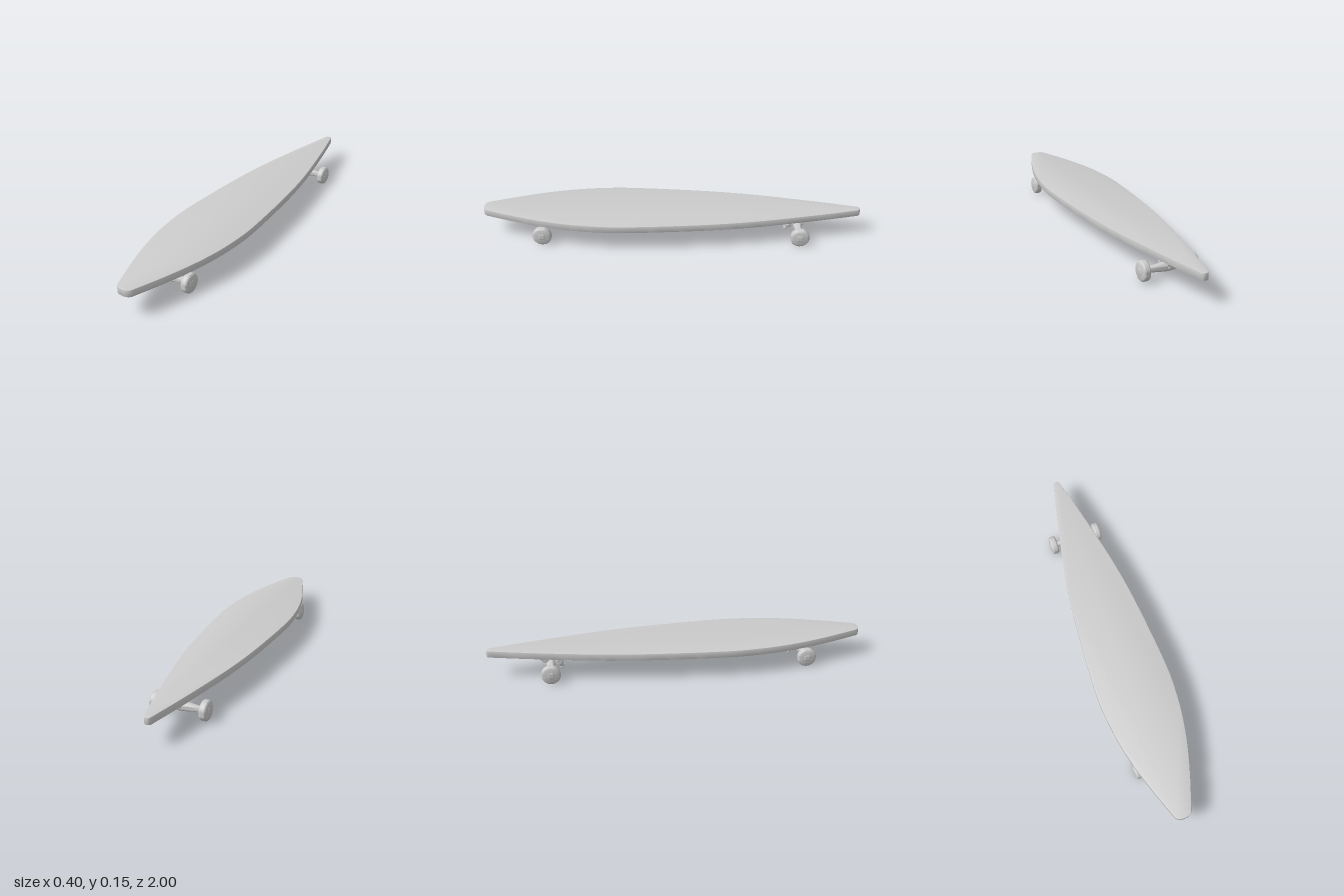
import * as THREE from 'three';
import { toCreasedNormals } from 'three/addons/utils/BufferGeometryUtils.js';

const grey = new THREE.MeshStandardMaterial({ color: 0xcccccc });

function add(parent, name, geometry, x = 0, y = 0, z = 0) {
  const mesh = new THREE.Mesh(geometry, grey);
  mesh.name = name;
  mesh.position.set(x, y, z);
  parent.add(mesh);
  return mesh;
}

// Solid of revolution from [radius, height] pairs
function lathe(profile, segments = 28) {
  const points = profile.map(([r, h]) => new THREE.Vector2(r, h));
  return toCreasedNormals(new THREE.LatheGeometry(points, segments), 0.7);
}

// Side profile of [z, y] pairs, extruded symmetrically across x
function sideExtrude(profile, width) {
  const shape = new THREE.Shape(profile.map(([z, y]) => new THREE.Vector2(-z, y)));
  const geo = new THREE.ExtrudeGeometry(shape, { depth: width, bevelEnabled: false });
  geo.translate(0, 0, -width / 2);
  return geo.rotateY(Math.PI / 2);
}

// Pintail deck: half outline from nose to tail, mirrored, with softened rims
function deckGeometry() {
  const half = [
    [0.046, 0.965], [0.095, 0.83], [0.144, 0.67], [0.18, 0.5], [0.197, 0.32], [0.195, 0.18],
    [0.184, 0], [0.167, -0.2], [0.141, -0.4], [0.104, -0.6], [0.062, -0.8], [0.021, -0.975],
  ];
  const side = new THREE.SplineCurve(half.map(([x, z]) => new THREE.Vector2(x, -z))).getPoints(44);
  const shape = new THREE.Shape();
  shape.moveTo(0, -0.995);
  shape.bezierCurveTo(0.025, -0.995, 0.04, -0.987, side[0].x, side[0].y);
  side.slice(1).forEach((p) => shape.lineTo(p.x, p.y));
  shape.bezierCurveTo(0.018, 0.992, 0.012, 1, 0, 1);
  shape.bezierCurveTo(-0.012, 1, -0.018, 0.992, -0.021, 0.975);
  side.slice(0, -1).reverse().forEach((p) => shape.lineTo(-p.x, p.y));
  shape.bezierCurveTo(-0.04, -0.987, -0.025, -0.995, 0, -0.995);
  const bevel = 0.003;
  const geo = new THREE.ExtrudeGeometry(shape, {
    depth: 0.037 - 2 * bevel, bevelThickness: bevel, bevelSize: bevel,
    bevelOffset: -bevel, bevelSegments: 2, curveSegments: 8,
  });
  geo.rotateX(-Math.PI / 2).translate(0, 0.115 + bevel, 0);
  return toCreasedNormals(geo, 0.5);
}

// One truck; local +z points to the end of the board
function createTruck() {
  const truck = new THREE.Group();

  // Mounting plate and wedge-shaped hanger bracket
  add(truck, 'basePlate', new THREE.BoxGeometry(0.088, 0.01, 0.18), 0, 0.11, -0.015);
  add(truck, 'bracket', sideExtrude([
    [0.072, 0.106], [-0.1, 0.106], [-0.065, 0.076], [-0.045, 0.076], [-0.02, 0.09],
    [0, 0.088], [0.018, 0.064], [0.036, 0.064],
  ], 0.042));

  // Tapered axle hanger lying along x
  const hanger = add(truck, 'axleHanger', lathe([
    [0, -0.112], [0.014, -0.112], [0.016, -0.085], [0.02, -0.05], [0.024, -0.02], [0.025, 0],
    [0.024, 0.02], [0.02, 0.05], [0.016, 0.085], [0.014, 0.112], [0, 0.112],
  ]), 0, 0.05, 0);
  hanger.rotation.z = Math.PI / 2;
  add(truck, 'pivot', new THREE.CylinderGeometry(0.012, 0.012, 0.04, 16), 0, 0.068, 0.02);

  // Tilted kingpin with bushings, washers and nut
  const kingpin = new THREE.Group();
  kingpin.name = 'kingpin';
  kingpin.position.set(0, 0.055, -0.047);
  kingpin.rotation.x = 0.5;
  add(kingpin, 'kingpinBolt', new THREE.CylinderGeometry(0.006, 0.006, 0.07, 12), 0, -0.003);
  add(kingpin, 'upperBushing', lathe([
    [0, 0.006], [0.016, 0.006], [0.018, 0.013], [0.016, 0.022], [0, 0.022],
  ], 20));
  add(kingpin, 'yokeRing', new THREE.CylinderGeometry(0.02, 0.02, 0.012, 20));
  add(kingpin, 'lowerBushing', lathe([
    [0, -0.022], [0.012, -0.022], [0.016, -0.006], [0, -0.006],
  ], 20));
  add(kingpin, 'washer', new THREE.CylinderGeometry(0.014, 0.014, 0.003, 20), 0, -0.023);
  add(kingpin, 'nut', new THREE.CylinderGeometry(0.011, 0.011, 0.01, 6), 0, -0.029);
  truck.add(kingpin);

  // Arm joining the kingpin ring to the hanger
  add(truck, 'yokeArm', new THREE.BoxGeometry(0.026, 0.014, 0.045), 0, 0.052, -0.024);

  // Wheels with domed hubs
  for (const s of [1, -1]) {
    const wheel = new THREE.Group();
    wheel.name = s > 0 ? 'leftWheel' : 'rightWheel';
    wheel.position.set(s * 0.1265, 0.05, 0);
    wheel.rotation.z = -s * Math.PI / 2;
    add(wheel, 'tyre', lathe([
      [0, -0.018], [0.041, -0.018], [0.046, -0.016], [0.049, -0.012], [0.05, -0.007],
      [0.05, 0.007], [0.049, 0.012], [0.046, 0.016], [0.041, 0.018], [0, 0.018],
    ], 32));
    add(wheel, 'hubCap', lathe([
      [0.019, 0.016], [0.018, 0.0185], [0.013, 0.021], [0.008, 0.0215], [0, 0.0215],
    ], 24));
    truck.add(wheel);
  }
  return truck;
}

export function createModel() {
  const board = new THREE.Group();
  board.name = 'longboard';
  add(board, 'deck', deckGeometry());

  // Front and rear trucks, facing away from each other
  for (const s of [1, -1]) {
    const truck = createTruck();
    truck.name = s > 0 ? 'frontTruck' : 'rearTruck';
    truck.position.z = s * 0.675;
    if (s < 0) truck.rotation.y = Math.PI;
    board.add(truck);
  }
  return board;
}
